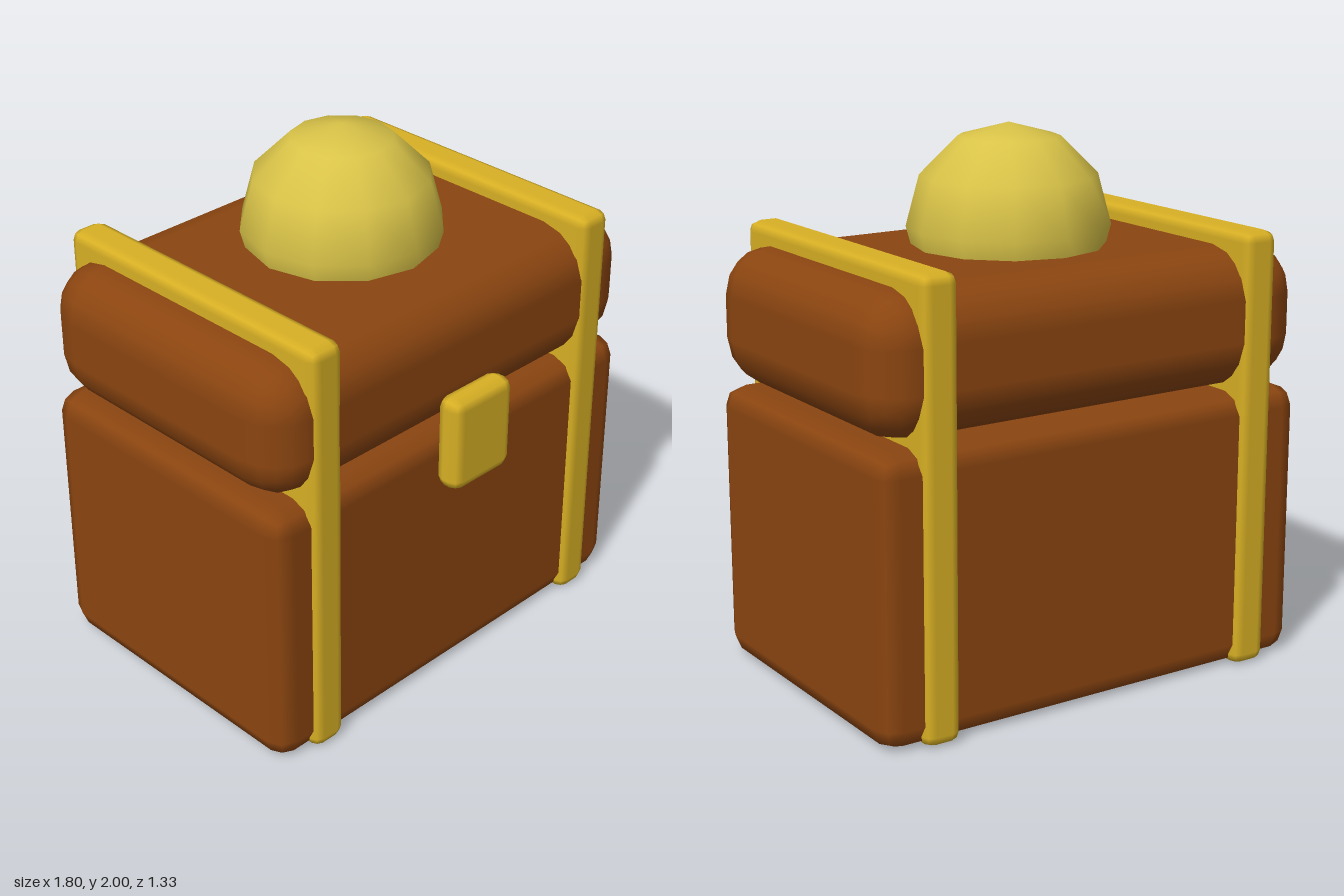
import * as THREE from 'three';
import { RoundedBoxGeometry } from 'three/addons/geometries/RoundedBoxGeometry.js';

const wood = new THREE.MeshStandardMaterial({ name: 'brown wood', color: 0x8b4510 });
const gold = new THREE.MeshStandardMaterial({ name: 'gold trim', color: 0xd8b024 });
const paleGold = new THREE.MeshStandardMaterial({ name: 'pale gold', color: 0xd9c348 });

// Rounded box given by its [min, max] extent on each axis
function roundedBox(name, material, [x0, x1], [y0, y1], [z0, z1], radius, segments = 1) {
  const geometry = new RoundedBoxGeometry(x1 - x0, y1 - y0, z1 - z0, segments, radius);
  const mesh = new THREE.Mesh(geometry, material);
  mesh.name = name;
  mesh.position.set((x0 + x1) / 2, (y0 + y1) / 2, (z0 + z1) / 2);
  return mesh;
}

export function createModel() {
  const chest = new THREE.Group();
  chest.name = 'chest';

  // Body and thicker-rounded lid, with a narrow gap between them
  chest.add(roundedBox('body', wood, [-0.887, 0.887], [0, 1.04], [-0.64, 0.552], 0.08));
  chest.add(roundedBox('lid', wood, [-0.9, 0.9], [1.05, 1.565], [-0.65, 0.565], 0.18, 2));

  // Straps running around body and lid
  for (const [side, x] of [['left', 0.667], ['right', -0.667]]) {
    chest.add(roundedBox(side + 'Strap', gold, [x - 0.071, x + 0.071], [0.002, 1.63], [-0.664, 0.575], 0.039));
  }

  // Lock plate on the front
  chest.add(roundedBox('lock', gold, [-0.146, 0.146], [0.858, 1.222], [0.56, 0.665], 0.04));

  // Faceted-outline dome on the lid
  const dome = new THREE.Mesh(new THREE.SphereGeometry(0.37, 12, 6), paleGold);
  dome.name = 'dome';
  dome.position.set(0, 1.63, -0.045);
  chest.add(dome);

  return chest;
}
